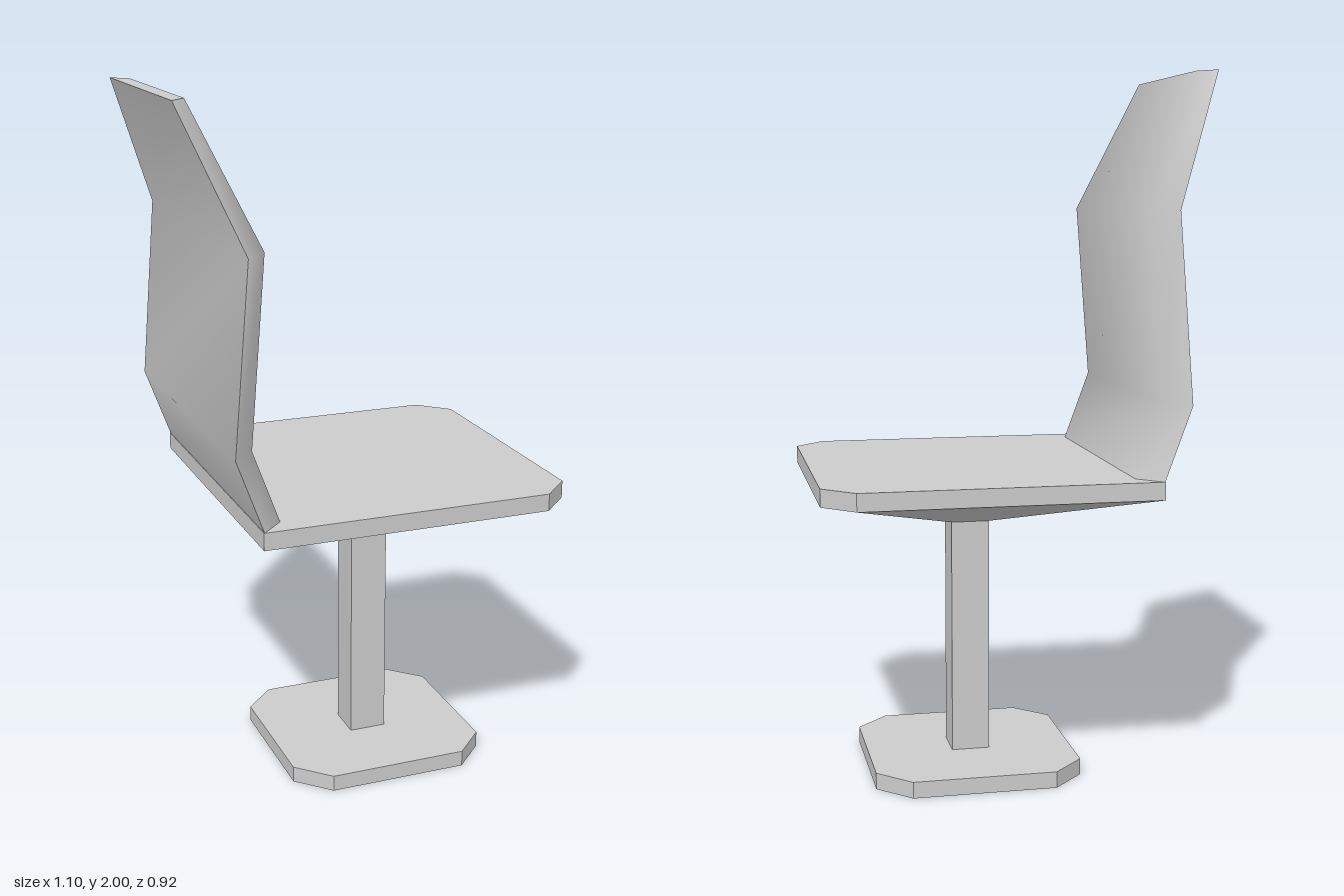
import * as THREE from 'three';
import { toCreasedNormals } from 'three/addons/utils/BufferGeometryUtils.js';

const material = new THREE.MeshStandardMaterial({ color: 0xcccccc });

function addPart(group, name, geometry) {
  const mesh = new THREE.Mesh(geometry, material);
  mesh.name = name;
  group.add(mesh);
}

// Horizontal slab from an outline of [x, z] points
function slab(points, y0, y1) {
  const shape = new THREE.Shape(points.map(([x, z]) => new THREE.Vector2(x, -z)));
  return new THREE.ExtrudeGeometry(shape, { depth: y1 - y0, bevelEnabled: false })
    .rotateX(-Math.PI / 2)
    .translate(0, y0, 0);
}

// Capped loft through rings of [x, y, z], bottom to top, counterclockwise from above
function loft(rings, crease) {
  const n = rings[0].length;
  const top = (rings.length - 1) * n;
  const index = [];
  for (let r = 0; r < rings.length - 1; r++) {
    for (let i = 0; i < n; i++) {
      const a = r * n + i, b = r * n + (i + 1) % n;
      index.push(a, b, b + n, a, b + n, a + n);
    }
  }
  for (let i = 1; i < n - 1; i++) {
    index.push(0, i + 1, i, top, top + i, top + i + 1);
  }
  const geometry = new THREE.BufferGeometry();
  geometry.setAttribute('position', new THREE.Float32BufferAttribute(rings.flat(2), 3));
  geometry.setIndex(index);
  return toCreasedNormals(geometry, crease);
}

export function createModel() {
  const chair = new THREE.Group();
  chair.name = 'pedestalChair';

  // Foot plate with four clipped corners
  const x0 = -0.21, x1 = 0.385, w = 0.295, c = 0.092;
  addPart(chair, 'footPlate', slab([
    [x1, w - c], [x1, c - w], [x1 - c, -w], [x0 + c, -w],
    [x0, c - w], [x0, w - c], [x0 + c, w], [x1 - c, w],
  ], 0, 0.047));

  // Square post
  addPart(chair, 'post', new THREE.BoxGeometry(0.11, 0.7, 0.11).translate(0.085, 0.39, 0));

  // Shallow funnel spreading from the post to the seat
  const low = [[0.14, 0.055], [0.14, -0.055], [0.14, -0.055], [0.03, -0.055], [0.03, 0.055], [0.14, 0.055]];
  const high = [[0.49, 0.43], [0.49, -0.43], [0.46, -0.46], [-0.375, -0.46], [-0.375, 0.46], [0.46, 0.46]];
  addPart(chair, 'seatSupport', loft([
    low.map(([x, z]) => [x, 0.73, z]),
    high.map(([x, z]) => [x, 0.85, z]),
  ], 0.7));

  // Seat with clipped front corners
  addPart(chair, 'seat', slab([
    [0.547, 0.375], [0.547, -0.375], [0.46, -0.46],
    [-0.375, -0.46], [-0.375, 0.46], [0.46, 0.46],
  ], 0.85, 0.9));

  // Bent backrest: [y, front x, front half width, rear x, rear half width]
  const sections = [
    [0.9, -0.308, 0.395, -0.373, 0.46],
    [1.105, -0.383, 0.395, -0.448, 0.46],
    [1.625, -0.342, 0.397, -0.405, 0.46],
    [2, -0.505, 0.275, -0.55, 0.323],
  ];
  addPart(chair, 'backrest', loft(sections.map(([y, xf, wf, xr, wr]) => [
    [xf, y, wf], [xf, y, -wf], [xr, y, -wr], [xr, y, wr],
  ]), 1));

  return chair;
}
